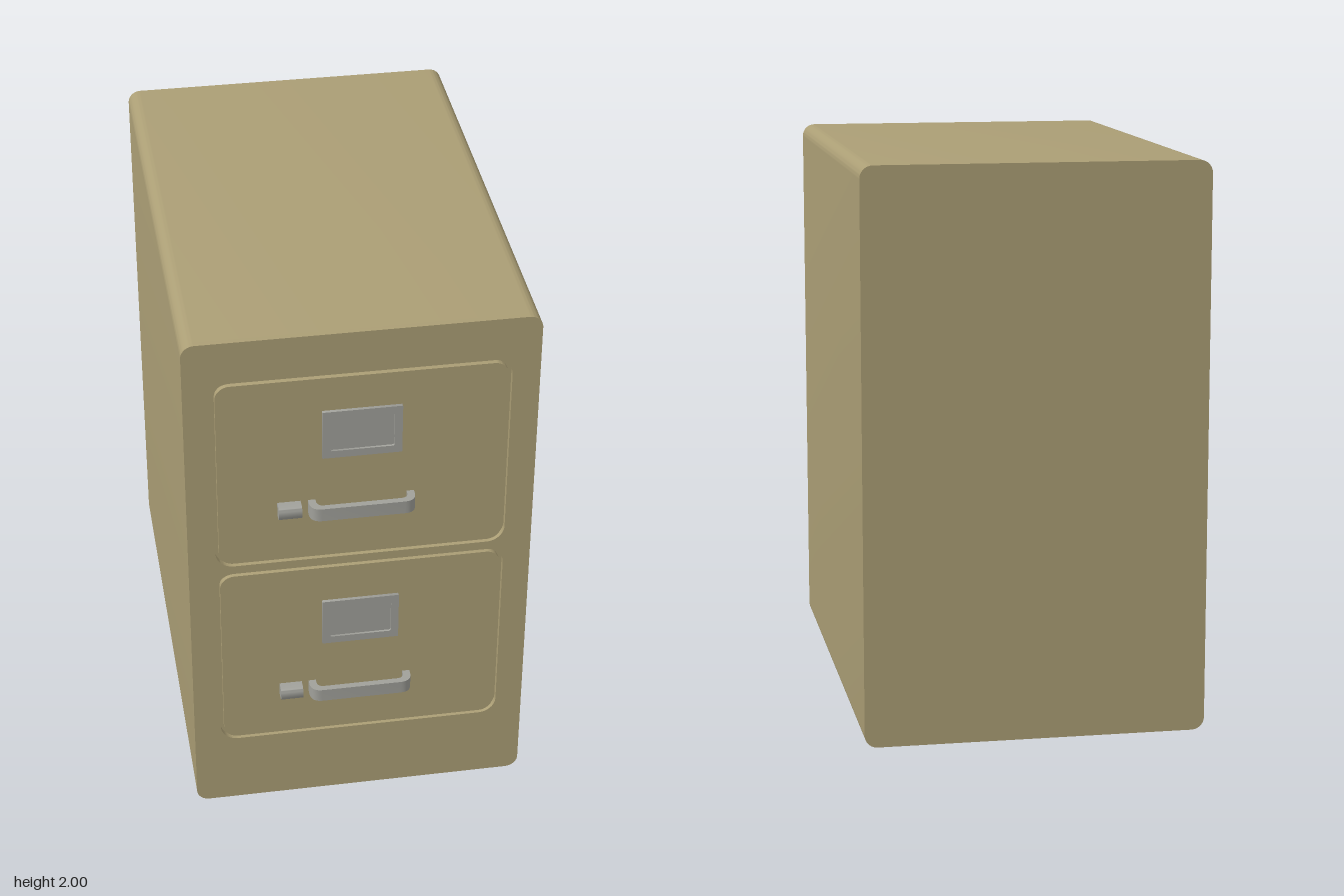
import * as THREE from 'three';
import { toCreasedNormals } from 'three/addons/utils/BufferGeometryUtils.js';

const FRONT = 0.85, BACK = -0.91, GROOVE = 0.02;

// Rounded rectangle outline, centred on (cx, cy)
function roundedRect(Type, w, h, r, cx = 0, cy = 0) {
  const s = new Type(), x = w / 2 - r, y = h / 2 - r;
  s.absarc(cx + x, cy + y, r, 0, Math.PI / 2);
  s.absarc(cx - x, cy + y, r, Math.PI / 2, Math.PI);
  s.absarc(cx - x, cy - y, r, Math.PI, Math.PI * 1.5);
  s.absarc(cx + x, cy - y, r, Math.PI * 1.5, Math.PI * 2);
  s.closePath();
  return s;
}

// Extrusion along z from z0 to z1 with smooth rounded corners
function slab(shape, z0, z1) {
  const g = new THREE.ExtrudeGeometry(shape, { depth: z1 - z0, bevelEnabled: false, curveSegments: 6 });
  return toCreasedNormals(g.translate(0, 0, z0), 0.7);
}

export function createModel() {
  const cabinetPaint = new THREE.MeshStandardMaterial({ color: 0xab9e75 });
  cabinetPaint.name = 'tan cabinet paint';
  const metal = new THREE.MeshStandardMaterial({ color: 0xa0a09a });
  metal.name = 'grey metal';

  const model = new THREE.Group();
  model.name = 'filingCabinet';
  const add = (parent, name, geometry, material) => {
    const mesh = new THREE.Mesh(geometry, material);
    mesh.name = name;
    parent.add(mesh);
    return mesh;
  };

  const drawers = [
    { name: 'upperDrawer', y: 1.46, labelY: 1.605, handleY: 1.31 },
    { name: 'lowerDrawer', y: 0.665, labelY: 0.795, handleY: 0.5 },
  ];

  // Cabinet: one shell with two drawer pockets sunk into its front
  const outline = () => roundedRect(THREE.Shape, 1.2, 2, 0.045, 0, 1);
  add(model, 'cabinetBody', slab(outline(), BACK, FRONT - GROOVE), cabinetPaint);
  const frame = outline();
  drawers.forEach(d => frame.holes.push(roundedRect(THREE.Path, 1.01, 0.762, 0.062, 0, d.y)));
  add(model, 'frontFrame', slab(frame, FRONT - GROOVE, FRONT), cabinetPaint);

  // Bow handle, drawn from above (x, outward) and extruded upwards
  const bow = new THREE.Shape();
  bow.moveTo(-0.183, 0);
  bow.lineTo(-0.183, 0.022);
  bow.quadraticCurveTo(-0.18, 0.06, -0.142, 0.06);
  bow.lineTo(0.142, 0.06);
  bow.quadraticCurveTo(0.18, 0.06, 0.183, 0.022);
  bow.lineTo(0.183, 0);
  bow.lineTo(0.157, 0);
  bow.lineTo(0.157, 0.018);
  bow.quadraticCurveTo(0.154, 0.038, 0.132, 0.038);
  bow.lineTo(-0.132, 0.038);
  bow.quadraticCurveTo(-0.154, 0.038, -0.157, 0.018);
  bow.lineTo(-0.157, 0);
  bow.closePath();
  const handle = slab(bow, -0.025, 0.025).rotateX(Math.PI / 2);

  // Thumb latch: profile with rounded front edges, extruded sideways
  const latchProfile = new THREE.Shape();
  latchProfile.moveTo(0, -0.025);
  latchProfile.lineTo(0.026, -0.025);
  latchProfile.absarc(0.026, -0.011, 0.014, -Math.PI / 2, 0);
  latchProfile.absarc(0.026, 0.011, 0.014, 0, Math.PI / 2);
  latchProfile.lineTo(0, 0.025);
  latchProfile.closePath();
  const latch = slab(latchProfile, -0.04, 0.04).rotateY(-Math.PI / 2);

  // Label holder: a raised frame around a recessed card
  const holder = roundedRect(THREE.Shape, 0.272, 0.188, 0.002);
  holder.holes.push(roundedRect(THREE.Path, 0.218, 0.132, 0.006));
  const holderGeometry = slab(holder, 0, 0.012);

  for (const d of drawers) {
    const drawer = new THREE.Group();
    drawer.name = d.name;
    model.add(drawer);

    const panel = roundedRect(THREE.Shape, 0.986, 0.738, 0.05, 0, d.y);
    add(drawer, 'drawerFront', slab(panel, FRONT - GROOVE, FRONT), cabinetPaint);

    add(drawer, 'labelFrame', holderGeometry, metal).position.set(-0.001, d.labelY, FRONT);
    add(drawer, 'labelCard', new THREE.BoxGeometry(0.22, 0.134, 0.004), metal)
      .position.set(-0.001, d.labelY, FRONT + 0.002);
    add(drawer, 'handle', handle, metal).position.set(-0.002, d.handleY, FRONT);
    add(drawer, 'thumbLatch', latch, metal).position.set(-0.25, d.handleY, FRONT);
  }
  return model;
}
